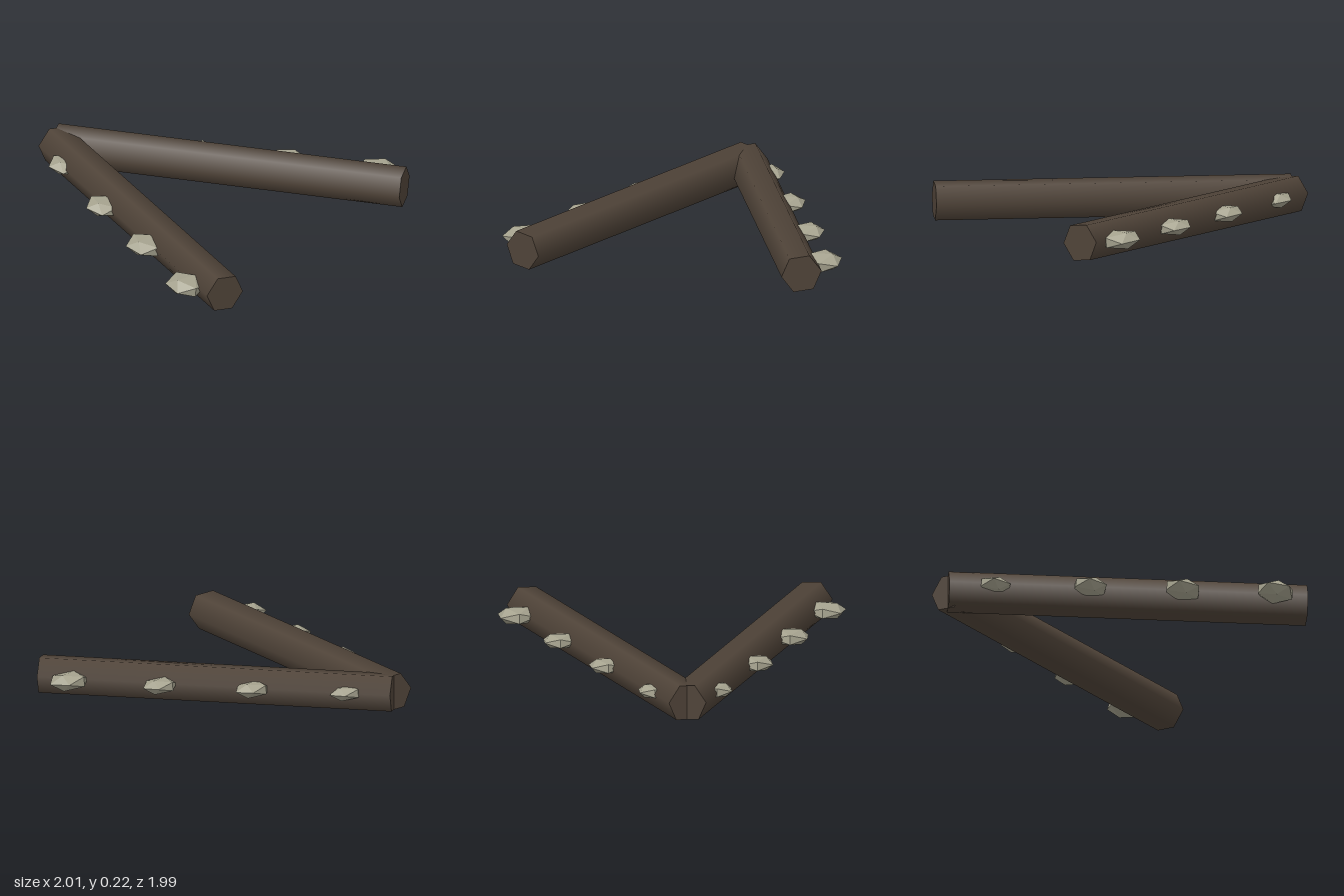
import * as THREE from 'three';

const wood = new THREE.MeshStandardMaterial({ color: 0x4f4338 });
wood.name = 'dark wood';
const stone = new THREE.MeshStandardMaterial({ color: 0xa5a28e, flatShading: true });
stone.name = 'pale stone';

const RADIUS = 0.1175, LOG_Y = 0.11;
const SPREAD = 0.832, REACH = 0.95; // front end of each log; both meet at x = 0, z = -REACH

// Six-sided log running from the rear joint to one front end
function makeLog(side) {
  const geometry = new THREE.CylinderGeometry(RADIUS, RADIUS, Math.hypot(SPREAD, 2 * REACH), 6);
  geometry.rotateX(Math.PI / 2);
  const log = new THREE.Mesh(geometry, wood);
  log.name = side > 0 ? 'leftLog' : 'rightLog';
  log.position.set(side * SPREAD / 2, LOG_Y, 0);
  log.rotation.set(0, side * Math.atan2(SPREAD, 2 * REACH), side * THREE.MathUtils.degToRad(36.5));
  return log;
}

// Flattened faceted stone set into the outer side of a log
function makeStone(name, [x, z, radius, yaw]) {
  const geometry = new THREE.IcosahedronGeometry(radius, 0);
  geometry.rotateY(yaw);
  geometry.scale(1, 0.45, 1);
  geometry.rotateX(0.1);
  const mesh = new THREE.Mesh(geometry, stone);
  mesh.name = name;
  mesh.position.set(x, 0.117, z);
  return mesh;
}

// Stones from back to front: x, z, radius, yaw
const stones = {
  leftStone: [[0.18, -0.74, 0.101, 0], [0.43, -0.255, 0.108, 0.1], [0.672, 0.225, 0.106, 0], [0.892, 0.712, 0.122, 0.08]],
  rightStone: [[-0.18, -0.74, 0.104, 0], [-0.436, -0.255, 0.11, 0.03], [-0.662, 0.23, 0.117, -0.1], [-0.895, 0.712, 0.119, -0.3]],
};

export function createModel() {
  const model = new THREE.Group();
  model.name = 'studdedLogWedge';
  for (const side of [1, -1]) model.add(makeLog(side));
  for (const [name, list] of Object.entries(stones)) {
    list.forEach((spec, i) => model.add(makeStone(name + (i + 1), spec)));
  }
  return model;
}
